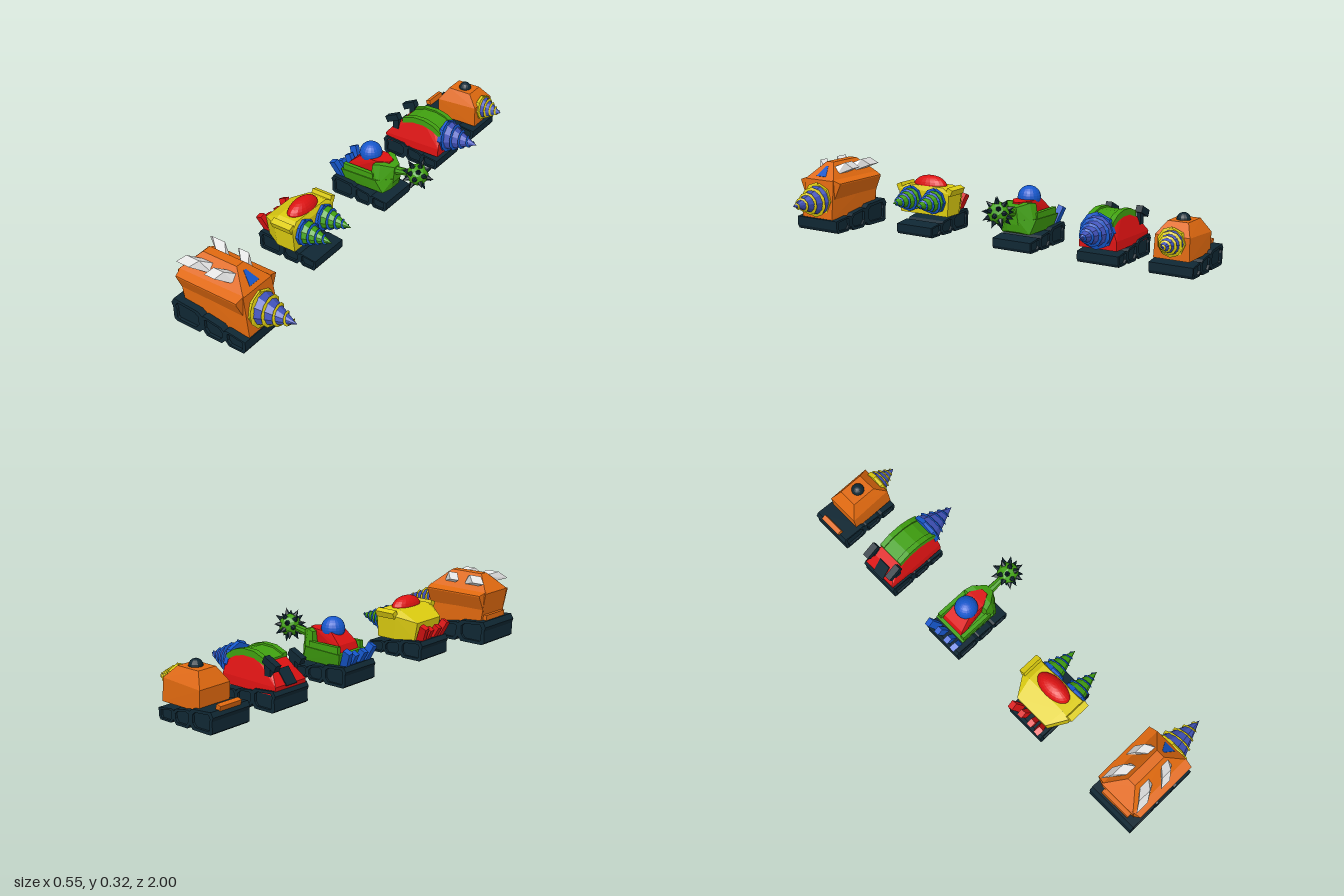
import * as THREE from 'three';
import { ConvexGeometry } from 'three/addons/geometries/ConvexGeometry.js';

const mat = (name, color) => new THREE.MeshStandardMaterial({ name, color, flatShading: true, side: THREE.DoubleSide });
const M = {
  orange: mat('orange', 0xe0690f), red: mat('red', 0xdc1212), green: mat('green', 0x40a010),
  blue: mat('blue', 0x1557cc), indigo: mat('indigo', 0x4052ba), yellow: mat('yellow', 0xdccc10),
  dark: mat('dark navy', 0x0f2733), white: mat('pale grey', 0xe2e2e2),
};

function add(parent, name, geo, material, x = 0, y = 0, z = 0, rz = 0, rx = 0) {
  const m = new THREE.Mesh(geo, material);
  m.name = name;
  m.position.set(x, y, z);
  m.rotation.set(rx, 0, rz);
  parent.add(m);
  return m;
}
const box = (x, y, z) => new THREE.BoxGeometry(x, y, z);

// Convex solid from corner points; symmetric ones are mirrored across z
function hull(pts, mirror = true) {
  const v = [];
  for (const [x, y, z] of pts) {
    v.push(new THREE.Vector3(x, y, z));
    if (mirror) v.push(new THREE.Vector3(x, y, -z));
  }
  return new ConvexGeometry(v);
}
const flip = (pts, s) => pts.map(([x, y, z]) => [x, y, z * s]);

// Spiral blade wound around a cone that points along +x
function threadGeo(r, len, turns, w) {
  const pos = [], idx = [], n = turns * 10;
  for (let i = 0; i <= n; i++) {
    const t = i / n, a = t * turns * Math.PI * 2, x = len * 0.9 * t;
    const inner = r * (1 - 0.9 * t) * 0.95, outer = inner + w * (1 - 0.6 * t);
    for (const [q, dx] of [[inner, -0.005], [outer, 0], [inner, 0.005]])
      pos.push(x + dx, q * Math.cos(a), q * Math.sin(a));
    if (i < n) for (const k of [0, 1]) {
      const b = i * 3 + k;
      idx.push(b, b + 1, b + 3, b + 1, b + 4, b + 3);
    }
  }
  const g = new THREE.BufferGeometry();
  g.setAttribute('position', new THREE.Float32BufferAttribute(pos, 3));
  g.setIndex(idx);
  g.computeVertexNormals();
  return g;
}
function drill(parent, x, y, z, r, len, cone, blade) {
  const g = new THREE.Group();
  g.name = 'drill';
  g.position.set(x, y, z);
  add(g, 'drillCone', new THREE.ConeGeometry(r, len, 10), cone, len / 2, 0, 0, -Math.PI / 2);
  add(g, 'drillThread', threadGeo(r, len, 4, r * 0.24), blade);
  add(g, 'drillCollar', new THREE.CylinderGeometry(r * 1.08, r * 1.08, 0.02, 8), blade, -0.006, 0, 0, -Math.PI / 2);
  parent.add(g);
}

// Crawler base: three shrinking lobes with recessed side panels
const LOBES = [
  [[-0.258, 0.012], [-0.258, 0.07], [-0.265, 0.09], [-0.25, 0.114], [-0.125, 0.104], [-0.1, 0.085], [-0.1, 0.03], [-0.125, 0.002], [-0.245, 0.002]],
  [[-0.112, 0.03], [-0.112, 0.085], [-0.095, 0.093], [-0.012, 0.08], [0.01, 0.06], [0.01, 0.025], [-0.012, 0], [-0.088, 0]],
  [[0.006, 0.025], [0.006, 0.07], [0.02, 0.074], [0.11, 0.062], [0.11, 0.02], [0.1, 0.003], [0.025, 0.003]],
];
function crawler(parent, k, x, y) {
  const g = new THREE.Group();
  g.name = 'crawlerTracks';
  g.position.set(x, y, 0);
  g.scale.setScalar(k);
  for (const lobe of LOBES) {
    const pts = lobe.map(p => new THREE.Vector2(...p));
    const c = pts.reduce((s, p) => s.add(p), new THREE.Vector2()).divideScalar(pts.length);
    const core = new THREE.ExtrudeGeometry(new THREE.Shape(pts), { depth: 0.216, bevelEnabled: false });
    add(g, 'trackCore', core, M.dark, 0, 0, -0.108);
    const rim = new THREE.Shape(pts);
    rim.holes.push(new THREE.Path(pts.map(p => p.clone().sub(c).multiplyScalar(0.72).add(c))));
    const rimGeo = new THREE.ExtrudeGeometry(rim, { depth: 0.012, bevelEnabled: false });
    for (const z of [-0.12, 0.108]) add(g, 'trackRim', rimGeo, M.dark, 0, 0, z);
  }
  parent.add(g);
}

// Two pairs of swept-back exhaust slabs
function exhausts(parent, material) {
  for (const s of [-1, 1]) {
    add(parent, 'outerExhaust', box(0.034, 0.085, 0.026), material, -0.243, 0.15, s * 0.07, 0.42, s * 0.25);
    add(parent, 'innerExhaust', box(0.03, 0.07, 0.026), material, -0.238, 0.14, s * 0.026, 0.5, s * 0.1);
  }
}

function heavyDriller(g) {
  crawler(g, 1, 0, 0);
  add(g, 'hull', hull([[-0.21, 0.065, 0.09], [0.108, 0.065, 0.09], [-0.24, 0.243, 0.09], [0.085, 0.245, 0.085],
    [-0.165, 0.32, 0.02], [0.005, 0.32, 0.02]]), M.orange);
  add(g, 'rearBumper', box(0.03, 0.025, 0.15), M.orange, -0.225, 0.125);
  const pod = [];
  for (const [a, b] of [[-0.235, -0.225], [0.084, 0.078]])
    pod.push([a, 0.25, 0.08], [b, 0.236, 0.12], [b, 0.23, 0.12], [a * 0.97, 0.155, 0.086]);
  const fin = (dx, k) => [[-0.165, 0.265, 0.055], [-0.09, 0.265, 0.055], [-0.09, 0.295, 0.025], [-0.135, 0.295, 0.025],
    [-0.235, 0.29, 0.1], [-0.17, 0.29, 0.1], [-0.135, 0.32, 0.075], [-0.2, 0.32, 0.075]]
    .map(([x, y, z]) => [dx + (x + 0.09) * k, y, z]);
  for (const s of [-1, 1]) {
    add(g, 'sidePod', hull(flip(pod, s), false), M.orange);
    add(g, 'rearFin', hull(flip(fin(-0.09, 1), s), false), M.white);
    add(g, 'frontFin', hull(flip(fin(0.022, 0.78), s), false), M.white);
  }
  add(g, 'windshield', hull([[0.026, 0.302, 0.006], [0.072, 0.26, 0.028], [0.022, 0.298, 0.006], [0.068, 0.255, 0.028]]), M.blue);
  drill(g, 0.1, 0.15, 0, 0.073, 0.173, M.indigo, M.yellow);
}

function twinDriller(g) {
  crawler(g, 0.8, -0.05, 0.03);
  add(g, 'hull', hull([[-0.13, 0.12, 0.13], [-0.04, 0.12, 0.13], [-0.14, 0.228, 0.14], [-0.04, 0.228, 0.14],
    [-0.21, 0.12, 0.085], [-0.225, 0.2, 0.085], [-0.14, 0.25, 0.1], [-0.05, 0.25, 0.1]]), M.yellow);
  const dome = add(g, 'canopy', new THREE.SphereGeometry(1, 20, 14), M.red, -0.095, 0.245, 0);
  dome.scale.set(0.046, 0.048, 0.088);
  for (const s of [-1, 1]) {
    add(g, 'shoulder', box(0.1, 0.03, 0.028), M.yellow, -0.092, 0.235, s * 0.138, 0, s * 0.4);
    drill(g, -0.03, 0.187, s * 0.066, 0.053, 0.135, M.green, M.blue);
  }
  exhausts(g, M.red);
}

function flailCrawler(g) {
  crawler(g, 0.8, -0.05, 0.03);
  add(g, 'hull', hull([[-0.2, 0.105, 0.07], [0.0, 0.105, 0.07], [-0.215, 0.165, 0.085], [-0.03, 0.17, 0.085],
    [0.03, 0.17, 0.03], [0.02, 0.115, 0.03]]), M.green);
  add(g, 'prow', hull([[-0.06, 0.15, 0.08], [-0.055, 0.235, 0.068], [-0.02, 0.24, 0.058], [0.03, 0.225, 0.02],
    [0.03, 0.15, 0.03], [-0.02, 0.15, 0.08]]), M.green);
  add(g, 'cockpit', hull([[-0.2, 0.16, 0.06], [-0.19, 0.195, 0.055], [-0.14, 0.24, 0.045], [-0.05, 0.243, 0.045],
    [0.0, 0.241, 0.015], [0.0, 0.16, 0.03]]), M.red);
  for (const s of [-1, 1]) add(g, 'sideRail', box(0.16, 0.035, 0.018), M.green, -0.125, 0.178, s * 0.072);
  add(g, 'dome', new THREE.SphereGeometry(0.051, 20, 14), M.blue, -0.11, 0.247, 0);
  add(g, 'arm', new THREE.CylinderGeometry(0.014, 0.02, 0.1, 8), M.green, 0.065, 0.208, 0, -1.4);
  // Spiked ball
  const ball = new THREE.Group();
  ball.name = 'spikedBall';
  ball.position.set(0.138, 0.22, 0);
  add(ball, 'ball', new THREE.IcosahedronGeometry(0.049, 1), M.green);
  const up = new THREE.Vector3(0, 1, 0), n = 24;
  for (let i = 0; i < n; i++) {
    const y = 1 - (2 * i + 1) / n, a = i * 2.39996, r = Math.sqrt(1 - y * y);
    const d = new THREE.Vector3(r * Math.cos(a), y, r * Math.sin(a));
    const spike = add(ball, 'spike', new THREE.ConeGeometry(0.014, 0.034, 6), M.dark);
    spike.position.copy(d).multiplyScalar(0.058);
    spike.quaternion.setFromUnitVectors(up, d);
  }
  g.add(ball);
  exhausts(g, M.blue);
}

function archDriller(g) {
  crawler(g, 0.8, -0.05, 0.03);
  const arch = [[-0.255, 0.135], [-0.215, 0.185], [-0.175, 0.215], [-0.12, 0.236], [-0.06, 0.238], [-0.01, 0.225], [0.032, 0.2]];
  add(g, 'hull', hull([[-0.25, 0.1, 0.088], [0.036, 0.1, 0.088], [-0.255, 0.135, 0.086], [0.036, 0.14, 0.086],
    ...arch.slice(1).map(([x, y]) => [x, y, 0.06])]), M.red);
  // Curved roof band with raised edges
  const band = (lift, width) => {
    const top = arch.slice(2).map(([x, y]) => new THREE.Vector2(x, y + lift));
    const low = arch.slice(2).map(([x, y]) => new THREE.Vector2(x, y - 0.012)).reverse();
    return new THREE.ExtrudeGeometry(new THREE.Shape([...top, ...low]), { depth: width, bevelEnabled: false });
  };
  add(g, 'roofBand', band(0.008, 0.108), M.green, 0, 0, -0.054);
  for (const s of [-1, 1]) {
    add(g, 'roofRib', band(0.016, 0.024), M.green, 0, 0, s * 0.054 - 0.012);
    add(g, 'rearExhaust', box(0.07, 0.03, 0.03), M.dark, -0.222, 0.222, s * 0.072, 0.45);
    add(g, 'exhaustMount', box(0.03, 0.05, 0.02), M.dark, -0.205, 0.195, s * 0.07);
  }
  add(g, 'rearVent', box(0.075, 0.006, 0.06), M.dark, -0.236, 0.16, 0, 0.9);
  drill(g, 0.038, 0.175, 0, 0.07, 0.152, M.indigo, M.blue);
}

function scoutDriller(g) {
  crawler(g, 0.8, -0.05, 0.03);
  add(g, 'hull', hull([[-0.17, 0.1, 0.078], [0.035, 0.1, 0.078], [-0.175, 0.185, 0.078], [0.03, 0.195, 0.075],
    [-0.135, 0.245, 0.045], [-0.02, 0.245, 0.045]]), M.orange);
  add(g, 'hatch', new THREE.SphereGeometry(0.029, 14, 10), M.dark, -0.073, 0.245, 0);
  add(g, 'rearBumper', box(0.022, 0.03, 0.11), M.orange, -0.245, 0.125, 0, 0.3);
  drill(g, 0.034, 0.17, 0, 0.055, 0.097, M.indigo, M.yellow);
}

export function createModel() {
  const model = new THREE.Group();
  model.name = 'drillConvoy';
  const fleet = [['heavyDriller', heavyDriller, 0.878], ['twinDriller', twinDriller, 0.363],
    ['flailCrawler', flailCrawler, -0.157], ['archDriller', archDriller, -0.576], ['scoutDriller', scoutDriller, -0.904]];
  for (const [name, build, z] of fleet) {
    const g = new THREE.Group();
    g.name = name;
    g.position.z = z;
    build(g);
    model.add(g);
  }
  return model;
}
